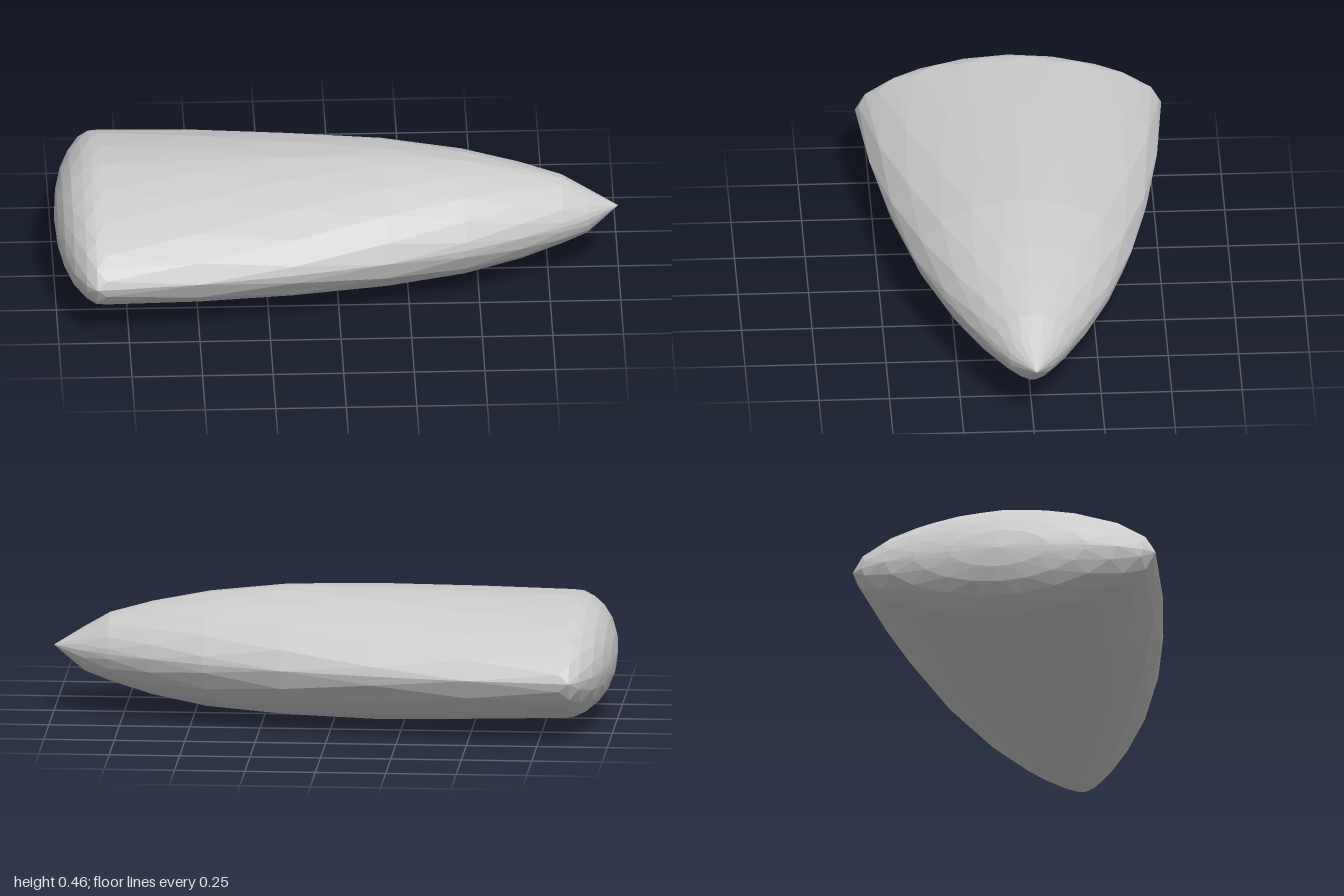
import * as THREE from 'three';
import { ConvexGeometry } from 'three/addons/geometries/ConvexGeometry.js';

const MID = 0.235; // height of the long axis

// Cross-sections along x: [x, half width, height above axis, depth below axis]
const STATIONS = [
  // rounded blunt end
  [-0.99, 0.18, 0.07, 0.07],
  [-0.97, 0.31, 0.12, 0.12],
  [-0.94, 0.42, 0.16, 0.16],
  [-0.90, 0.505, 0.19, 0.19],
  [-0.865, 0.543, 0.205, 0.207],
  [-0.83, 0.54, 0.211, 0.214],
  // tapering body
  [-0.50, 0.51, 0.222, 0.226],
  [-0.16, 0.457, 0.229, 0.235],
  [0.17, 0.386, 0.229, 0.228],
  [0.45, 0.297, 0.202, 0.205],
  [0.65, 0.212, 0.164, 0.167],
  [0.80, 0.138, 0.125, 0.122],
  [0.89, 0.083, 0.072, 0.088],
];

// Slightly lens-shaped oval section
function sectionPoint([x, w, up, down], a) {
  const bend = (v) => Math.sign(v) * Math.abs(v) ** 1.1;
  const c = bend(Math.cos(a));
  const s = bend(Math.sin(a));
  return new THREE.Vector3(x, MID + s * (s > 0 ? up : down), c * w);
}

export function createModel() {
  const group = new THREE.Group();
  group.name = 'pod';

  const points = [new THREE.Vector3(-1, MID, 0), new THREE.Vector3(1, MID + 0.005, -0.01)];
  const sides = 18;
  STATIONS.forEach((station, i) => {
    // every other ring is turned half a step to give irregular facets
    const turn = (i % 2) * 0.5;
    for (let k = 0; k < sides; k++) {
      points.push(sectionPoint(station, ((k + turn) / sides) * Math.PI * 2));
    }
    // keep the side edges and the ridges on every ring
    for (let k = 0; k < 4; k++) points.push(sectionPoint(station, (k * Math.PI) / 2 + 0.0005));
  });

  const material = new THREE.MeshStandardMaterial({ color: 0xcccccc, flatShading: true });
  const shell = new THREE.Mesh(new ConvexGeometry(points), material);
  shell.name = 'shell';
  group.add(shell);
  return group;
}
